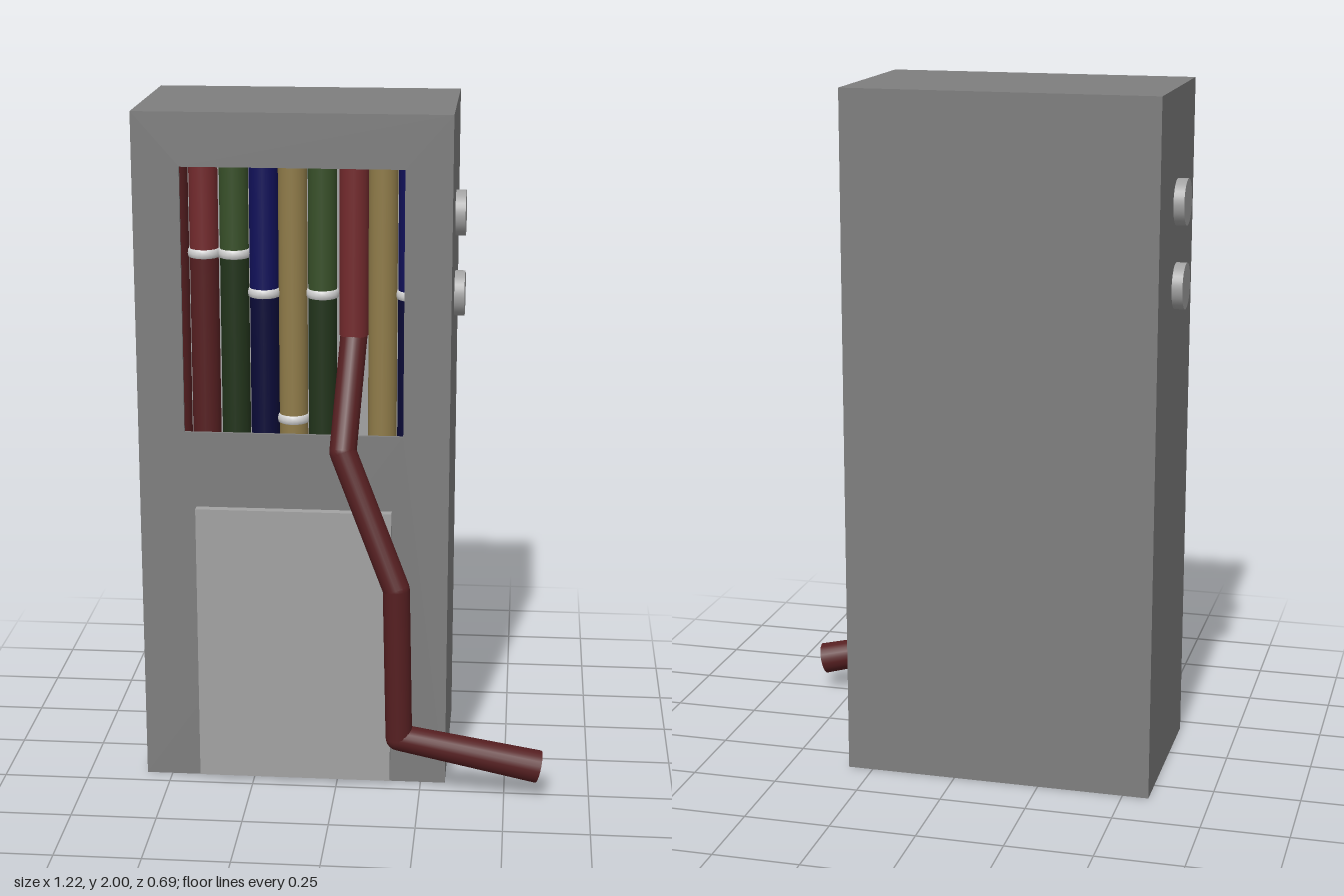
import * as THREE from 'three';

const mat = (name, color, side = THREE.FrontSide) => {
  const m = new THREE.MeshStandardMaterial({ color, side });
  m.name = name;
  return m;
};

export function createModel() {
  const M = {
    casing: mat('casing grey', 0x7e7e7e),
    light: mat('light grey', 0xa2a2a2),
    band: mat('band white', 0xd2d2d2),
    red: mat('red', 0x732a2d),
    green: mat('green', 0x385029),
    blue: mat('blue', 0x11115a),
    yellow: mat('yellow', 0x8f7b49),
    darkRed: mat('dark red', 0x561f21),
    darkGreen: mat('dark green', 0x22341b),
    darkBlue: mat('dark blue', 0x0b0b38),
  };
  const root = new THREE.Group();
  root.name = 'hoseCabinet';
  const add = (name, geo, material, x = 0, y = 0, z = 0, parent = root) => {
    const mesh = new THREE.Mesh(geo, material);
    mesh.name = name;
    mesh.position.set(x, y, z);
    parent.add(mesh);
    return mesh;
  };

  // Cabinet: solid rear, hollow middle, front plate with window
  const X0 = -0.576, X1 = 0.323, H = 2, FRONT = 0.195, BACK = -0.345, INNER = 0.03;
  const trace = (path, x0, x1, y0, y1) =>
    path.moveTo(x0, y0).lineTo(x1, y0).lineTo(x1, y1).lineTo(x0, y1).closePath();
  const frame = (x0, x1, y0, y1, depth) => {
    const s = new THREE.Shape();
    trace(s, X0, X1, 0, H);
    const hole = new THREE.Path();
    trace(hole, x0, x1, y0, y1);
    s.holes.push(hole);
    return new THREE.ExtrudeGeometry(s, { depth, bevelEnabled: false });
  };
  const cx = (X0 + X1) / 2;
  add('cabinetRear', new THREE.BoxGeometry(X1 - X0, H, INNER - BACK), M.casing, cx, H / 2, (INNER + BACK) / 2);
  add('cabinetWalls', frame(-0.54, 0.29, 0.99, 1.95, FRONT - INNER - 0.01), M.casing, 0, 0, INNER);
  add('frontPlate', frame(-0.442, 0.19, 1.077, 1.847, 0.01), M.casing, 0, 0, FRONT - 0.01);
  add('compartmentBack', new THREE.BoxGeometry(0.83, 0.96, 0.006), M.light, -0.125, 1.47, INNER + 0.003);

  // Lower door panel
  add('doorPanel', new THREE.BoxGeometry(0.57, 0.84, 0.027), M.light, -0.126, 0.432, FRONT + 0.0135);

  // Round knobs on both sides
  for (const y of [1.68, 1.442]) {
    for (const [x, side] of [[X0 - 0.015, 'right'], [X1 + 0.014, 'left']]) {
      add(side + 'Knob', new THREE.CylinderGeometry(0.066, 0.066, 0.031, 32), M.light, x, y, -0.072).rotation.z = Math.PI / 2;
    }
  }

  // Row of hanging hoses: x, upper colour, lower colour, band height
  const R = 0.0415, TOP = 1.948, BOTTOM = 0.992, HZ = 0.09;
  const hoses = [
    [-0.475, M.darkRed, M.darkRed, 0],
    [-0.39, M.red, M.darkRed, 1.585],
    [-0.303, M.green, M.darkGreen, 1.585],
    [-0.218, M.blue, M.darkBlue, 1.472],
    [-0.135, M.yellow, M.yellow, 1.1],
    [-0.05, M.green, M.darkGreen, 1.472],
    [0.123, M.yellow, M.yellow, 0],
    [0.208, M.blue, M.darkBlue, 1.472],
  ];
  const bar = (name, material, x, y0, y1, parent) =>
    add(name, new THREE.CylinderGeometry(R, R, y1 - y0, 20), material, x, (y0 + y1) / 2, HZ, parent);
  for (const [x, upper, lower, bandY] of hoses) {
    const g = new THREE.Group();
    g.name = 'hose';
    root.add(g);
    if (!bandY) {
      bar('hoseLength', upper, x, BOTTOM, TOP, g);
      continue;
    }
    bar('upperHose', upper, x, bandY, TOP, g);
    bar('lowerHose', lower, x, BOTTOM, bandY, g);
    const ring = [[R, -0.013], [0.046, -0.011], [0.048, 0], [0.046, 0.011], [R, 0.013]]
      .map(([r, y]) => new THREE.Vector2(r, y));
    add('hoseBand', new THREE.LatheGeometry(ring, 20), M.band, x, bandY, HZ, g);
  }

  // Pulled-out hose: straight lengths joined at bends
  const path = [
    [0.04, TOP, HZ], [0.04, 1.35, HZ], [0.02, 1.04, 0.232],
    [0.18, 0.655, 0.308], [0.19, 0.19, 0.298], [0.6, 0.095, 0.262],
  ].map((p) => new THREE.Vector3(...p));
  const pulled = new THREE.Group();
  pulled.name = 'pulledHose';
  root.add(pulled);
  const up = new THREE.Vector3(0, 1, 0);
  for (let i = 0; i < path.length - 1; i++) {
    const a = path[i], b = path[i + 1];
    const dir = b.clone().sub(a), mid = a.clone().add(b).multiplyScalar(0.5);
    const r = i === 0 ? R : 0.039;
    const rEnd = i === path.length - 2 ? 0.048 : r;
    const m = i === 0 ? M.red : M.darkRed;
    add('hoseLength', new THREE.CylinderGeometry(rEnd, r, dir.length(), 20), m, mid.x, mid.y, mid.z, pulled)
      .quaternion.setFromUnitVectors(up, dir.normalize());
    if (i > 0) add('hoseBend', new THREE.SphereGeometry(0.039, 20, 14), m, a.x, a.y, a.z, pulled);
  }
  return root;
}
